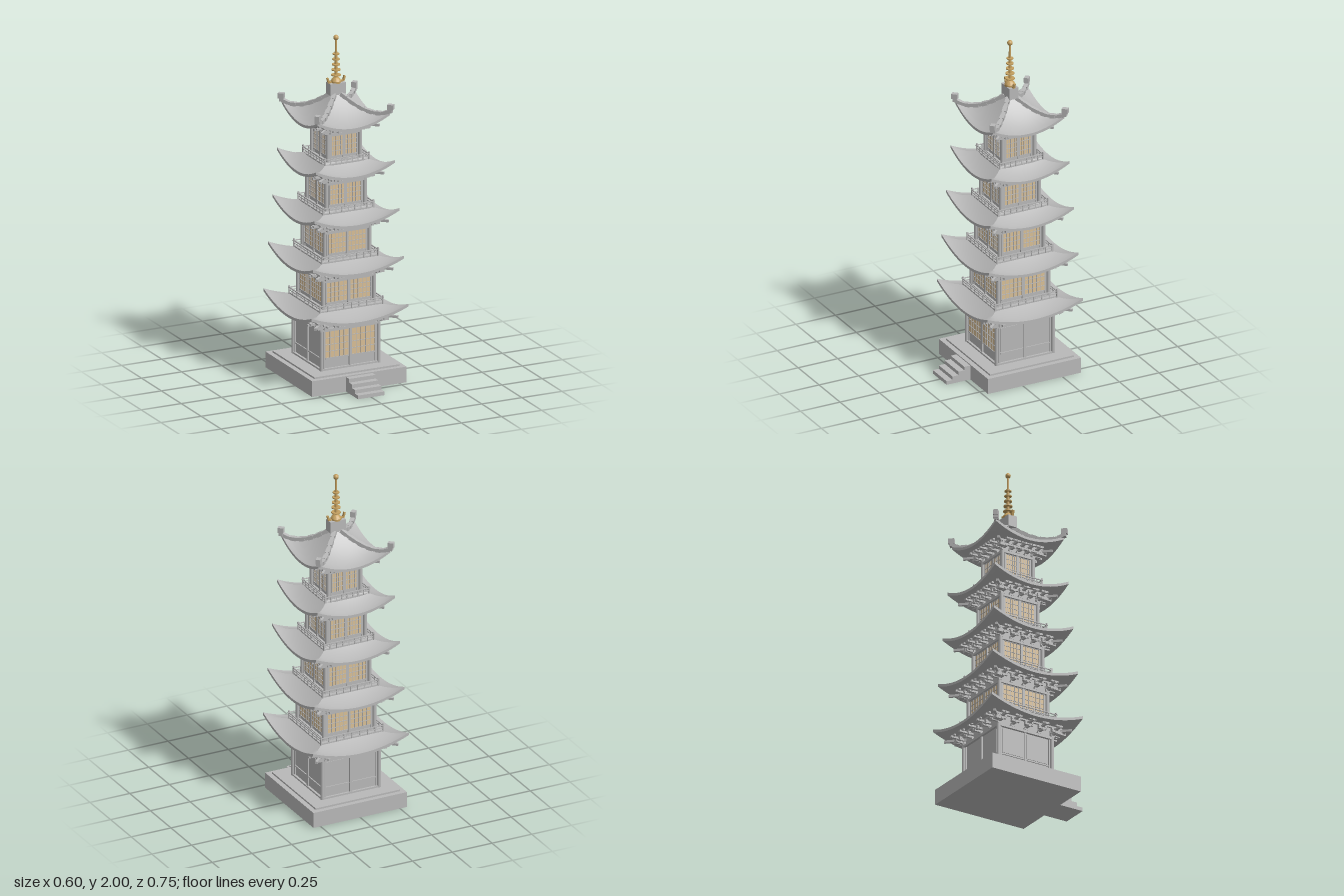
import * as THREE from 'three';
import { toCreasedNormals } from 'three/addons/utils/BufferGeometryUtils.js';

const mat = (name, color) => Object.assign(new THREE.MeshStandardMaterial({ color }), { name });
const stone = mat('stone grey', 0xb8b8b8);
const paper = mat('window paper', 0xd9bf96);
const gold = mat('finial gold', 0xc4a060);

function add(parent, name, geo, material, x = 0, y = 0, z = 0) {
  const m = new THREE.Mesh(geo, material);
  m.name = name;
  m.position.set(x, y, z);
  parent.add(m);
  return m;
}
const box = (parent, name, w, h, d, x, y, z, material = stone) =>
  add(parent, name, new THREE.BoxGeometry(w, h, d), material, x, y, z);

// Calls build once per side; local +z points outwards
function fourSides(parent, name, build) {
  for (let s = 0; s < 4; s++) {
    const side = new THREE.Group();
    side.name = name;
    side.rotation.y = s * Math.PI / 2;
    parent.add(side);
    build(side, s);
  }
}

// Roof height above the middle of the eave: d = distance out (0..1), c = closeness to the corner (0..1)
const RISE = 0.158, LIFT = 0.063, THICK = 0.016;
const roofY = (d, c) => RISE * Math.pow(1 - d, 1.55) + LIFT * c * c * d ** 3;

// Curved square roof: a closed profile swept round a square
function roofGeometry(half, inner) {
  const profile = [], n = 10, perSide = 16;
  for (let i = 0; i <= n; i++) profile.push([inner + (1 - inner) * i / n, true]);
  for (let i = n; i >= 0; i--) profile.push([inner + (1 - inner) * i / n, false]);
  const pos = [], idx = [], cols = perSide * 4;
  for (let j = 0; j < cols; j++) {
    const side = Math.floor(j / perSide), t = (j % perSide) / perSide * 2 - 1;
    const a = side * Math.PI / 2, ca = Math.round(Math.cos(a)), sa = Math.round(Math.sin(a));
    for (const [d, top] of profile) {
      const x = t * d * half, z = d * half;
      const y = top ? THICK + roofY(d, Math.abs(t))
        : 0.45 * RISE * Math.pow(1 - d, 1.55) + LIFT * t * t * d ** 3;
      pos.push(x * ca + z * sa, y, z * ca - x * sa);
    }
  }
  const p = profile.length;
  for (let j = 0; j < cols; j++) {
    for (let i = 0; i < p - 1; i++) {
      const a = j * p + i, b = ((j + 1) % cols) * p + i;
      idx.push(a, a + 1, b, b, a + 1, b + 1);
    }
  }
  const g = new THREE.BufferGeometry();
  g.setAttribute('position', new THREE.Float32BufferAttribute(pos, 3));
  g.setIndex(idx);
  return toCreasedNormals(g, 0.6);
}

// One window: paper sheet and lattice
function windowBay(side, x, y, z, w, h) {
  box(side, 'windowPaper', w, h, 0.004, x, y, z, paper);
  for (let i = 0; i <= 5; i++) box(side, 'latticeUpright', 0.003, h, 0.005, x - w / 2 + w * i / 5, y, z + 0.003);
  for (let i = 0; i <= 4; i++) box(side, 'latticeBar', w, 0.003, 0.005, x, y - h / 2 + h * i / 4, z + 0.003);
}

function storey(parent, level, w, y0, y1, eave) {
  const g = new THREE.Group();
  g.name = 'storey' + (level + 1);
  parent.add(g);
  const h = y1 - y0, mid = (y0 + y1) / 2, wall = w - 0.018;
  const coreTop = eave + 0.04;
  box(g, 'wallCore', wall * 2, coreTop - y0 + 0.02, wall * 2, 0, (coreTop + y0 - 0.02) / 2, 0);

  fourSides(g, 'wallSide', (side, s) => {
    // Columns, centre post and beams
    add(side, 'cornerColumn', new THREE.CylinderGeometry(0.011, 0.011, h, 12), stone, w - 0.012, mid, w - 0.012);
    for (const x of [-1, 1]) box(side, 'doorJamb', 0.008, h, 0.012, x * (w - 0.03), mid, wall);
    box(side, 'centrePost', 0.013, h, 0.018, 0, mid, wall);
    box(side, 'headBeam', w * 2 - 0.01, 0.014, 0.022, 0, y1 - 0.007, w - 0.014);
    box(side, 'sillBeam', w * 2 - 0.02, 0.012, 0.018, 0, y0 + 0.006, w - 0.014);
    // Two bays: windows, or plain panels on the sides and back at ground level
    const bayW = w - 0.043, lower = level ? y0 + 0.036 : 0.172, bayH = y1 - 0.018 - lower;
    for (const x of [-1, 1]) {
      const cx = x * (bayW / 2 + 0.008);
      box(side, 'sillRail', bayW, 0.007, 0.012, cx, lower - 0.004, wall);
      if (level || s === 0) windowBay(side, cx, lower + bayH / 2, wall + 0.002, bayW, bayH);
      else box(side, 'wallPanel', bayW - 0.01, bayH - 0.01, 0.005, cx, lower + bayH / 2, wall + 0.001);
    }
    // Stepped eave brackets
    for (let i = -2; i <= 2; i++) {
      const x = i / 2 * (w - 0.012);
      box(side, 'bracketBlock', 0.022, 0.012, 0.022, x, y1 + 0.006, w - 0.012);
      box(side, 'lowerArm', 0.013, 0.012, 0.06, x, y1 + 0.016, w + 0.005);
      box(side, 'crossArm', 0.052, 0.011, 0.012, x, y1 + 0.023, w + 0.024);
      for (const k of [-1, 1]) box(side, 'armBlock', 0.013, 0.011, 0.016, x + k * 0.021, y1 + 0.033, w + 0.024);
      box(side, 'upperArm', 0.013, 0.012, 0.09, x, y1 + 0.036, w + 0.03);
      box(side, 'outerCrossArm', 0.045, 0.01, 0.012, x, y1 + 0.043, w + 0.06);
    }
    // Diagonal corner bracket
    const diagonal = box(side, 'cornerArm', 0.014, 0.014, 0.13, w + 0.022, y1 + 0.034, w + 0.022);
    diagonal.rotation.y = Math.PI / 4;
    box(side, 'cornerBlock', 0.03, 0.022, 0.03, w + 0.016, y1 + 0.022, w + 0.016);
    box(side, 'purlin', (w + 0.03) * 2, 0.01, 0.01, 0, y1 + 0.044, w + 0.026);
  });

  // Balcony
  if (level) {
    const b = w + 0.024;
    box(g, 'balconyFloor', b * 2, 0.008, b * 2, 0, y0 - 0.002, 0);
    fourSides(g, 'balconySide', (side) => {
      const posts = 8;
      for (let i = 1; i < posts; i++)
        box(side, 'railPost', 0.005, 0.034, 0.005, (i / posts * 2 - 1) * b, y0 + 0.014, b);
      box(side, 'cornerRailPost', 0.008, 0.05, 0.008, b, y0 + 0.018, b);
      box(side, 'topRail', b * 2 + 0.014, 0.005, 0.006, 0, y0 + 0.032, b);
      box(side, 'midRail', b * 2, 0.004, 0.004, 0, y0 + 0.017, b);
    });
  }
}

// Tiled ridges running down to the corners of the top roof
function hipRidges(parent, half, eave) {
  fourSides(parent, 'hipRidge', (side) => {
    const n = 11;
    const point = (i) => {
      const d = 0.1 + 0.88 * i / n;
      return new THREE.Vector3(d * half, eave + THICK + roofY(d, 1) + 0.006, d * half);
    };
    for (let i = 0; i < n; i++) {
      const a = point(i), b = point(i + 1);
      const seg = box(side, 'ridgeTile', i % 2 ? 0.021 : 0.025, i % 2 ? 0.018 : 0.022, a.distanceTo(b) + 0.006, 0, 0, 0);
      seg.position.lerpVectors(a, b, 0.5);
      seg.rotation.order = 'YXZ';
      seg.rotation.y = Math.PI / 4;
      seg.rotation.x = -Math.atan2(b.y - a.y, Math.hypot(b.x - a.x, b.z - a.z));
    }
    const end = box(side, 'ridgeEnd', 0.027, 0.046, 0.024, half, eave + 0.1, half);
    end.rotation.y = Math.PI / 4;
    const cap = box(side, 'ridgeEndCap', 0.027, 0.03, 0.034, half + 0.002, eave + 0.11, half + 0.002);
    cap.rotation.y = Math.PI / 4;
  });
}

function finial(parent) {
  const g = new THREE.Group();
  g.name = 'finial';
  parent.add(g);
  box(g, 'ridgeBox', 0.096, 0.068, 0.056, 0, 1.689, 0);
  box(g, 'goldCrossbar', 0.1, 0.008, 0.014, 0, 1.727, 0, gold);
  for (const k of [-1, 1]) {
    const horn = box(g, 'goldHorn', 0.01, 0.032, 0.014, k * 0.049, 1.738, 0, gold);
    horn.rotation.z = -k * 0.3;
  }
  const base = [[0, 1.72], [0.03, 1.72], [0.03, 1.732], [0.022, 1.745], [0.012, 1.752], [0, 1.752]];
  add(g, 'finialBase', toCreasedNormals(new THREE.LatheGeometry(base.map((p) => new THREE.Vector2(...p)), 24), 0.5), gold);
  add(g, 'shaft', new THREE.CylinderGeometry(0.006, 0.009, 0.25, 12), gold, 0, 1.86, 0);
  for (let i = 0; i < 5; i++)
    add(g, 'finialRing', new THREE.CylinderGeometry(0.027 - i * 0.002, 0.027 - i * 0.002, 0.006, 24), gold, 0, 1.765 + i * 0.031, 0);
  add(g, 'finialBall', new THREE.SphereGeometry(0.0155, 20, 14), gold, 0, 1.9845, 0);
}

export function createModel() {
  const model = new THREE.Group();
  model.name = 'pagoda';
  const tower = new THREE.Group();
  tower.name = 'tower';
  tower.position.z = -0.073;
  model.add(tower);

  // Stone base and front steps
  box(tower, 'base', 0.588, 0.092, 0.588, 0, 0.046, 0);
  box(tower, 'plinth', 0.53, 0.012, 0.53, 0, 0.096, 0);
  for (let i = 0; i < 4; i++) {
    const h = 0.0215 * (i + 1), z1 = 0.37 - i * 0.0373;
    box(model, 'step', 0.164, h, 0.0375, 0, h / 2, z1 - 0.01875);
  }

  for (let i = 0; i < 5; i++) {
    const eave = 0.384 + i * 0.279, w = 0.19 - i * 0.0193, half = 0.302 - i * 0.019;
    storey(tower, i, w, i ? eave - 0.279 + 0.07 : 0.1, eave - 0.038, eave);
    add(tower, 'roof', roofGeometry(half, i < 4 ? 0.48 : 0.02), stone, 0, eave, 0);
    if (i === 4) hipRidges(tower, half, eave);
  }
  finial(tower);
  return model;
}
